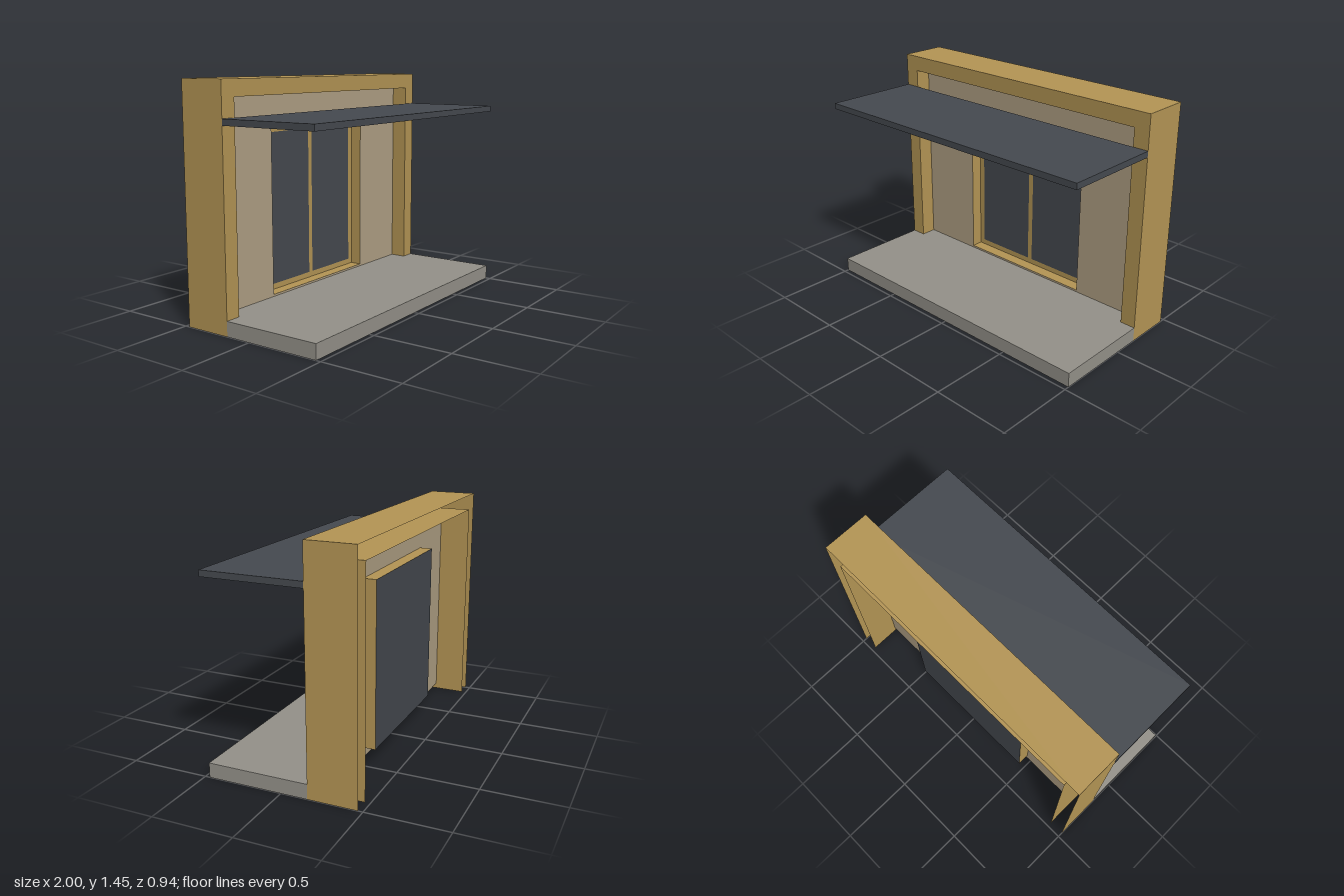
import * as THREE from 'three';

const mat = (name, color, side = THREE.DoubleSide) => {
  const m = new THREE.MeshStandardMaterial({ color, side });
  m.name = name;
  return m;
};

// Closed shape or hole outline from corner pairs
const outline = (Type, pts) => new Type(pts.map(([x, y]) => new THREE.Vector2(x, y)));
const rect = (x0, y0, x1, y1) => [[x0, y0], [x1, y0], [x1, y1], [x0, y1]];

// Flat sheet with optional rectangular holes
function sheet(pts, holes = []) {
  const s = outline(THREE.Shape, pts);
  holes.forEach(h => s.holes.push(outline(THREE.Path, h)));
  return new THREE.ShapeGeometry(s);
}

// Flat strip folded along an xy path, running from z0 to z1
function strip(path, z0, z1) {
  const pos = [];
  for (let i = 0; i + 1 < path.length; i++) {
    const [ax, ay] = path[i], [bx, by] = path[i + 1];
    pos.push(ax, ay, z0, bx, by, z0, bx, by, z1, ax, ay, z0, bx, by, z1, ax, ay, z1);
  }
  const g = new THREE.BufferGeometry();
  g.setAttribute('position', new THREE.Float32BufferAttribute(pos, 3));
  g.computeVertexNormals();
  return g;
}

export function createModel() {
  const model = new THREE.Group();
  model.name = 'porchFacade';
  const wood = mat('ochre wood', 0xb59655);
  const plaster = mat('beige plaster', 0xb1a185);
  const stone = mat('grey stone', 0x95928a);
  const dark = mat('charcoal', 0x464a50);

  const add = (parent, name, geo, material, x = 0, y = 0, z = 0) => {
    const m = new THREE.Mesh(geo, material);
    m.name = name;
    m.position.set(x, y, z);
    parent.add(m);
    return m;
  };
  const group = name => {
    const g = new THREE.Group();
    g.name = name;
    model.add(g);
    return g;
  };

  const H = 1.45, front = -0.165, back = -0.47, porch = 0.47, wallZ = -0.27;
  const step = 0.092;

  // Surround: hollow arch, open at the back and the feet
  const surround = group('surround');
  const outer = [[-1, 0], [-1, H], [1, H], [1, 0]];
  const inner = [[0.9, 0], [0.9, 1.35], [-0.9, 1.35], [-0.9, 0]];
  add(surround, 'surroundFront', sheet([...outer, ...inner]), wood, 0, 0, front);
  add(surround, 'surroundOuterSides', strip(outer, back, front), wood);
  add(surround, 'surroundInnerSides', strip(inner, back, front), wood);

  // Wall sheet with the window opening
  const opening = rect(-0.473, 0.105, 0.473, 1.145);
  add(model, 'wall', sheet(rect(-0.9, 0.035, 0.9, 1.35), [opening]), plaster, 0, 0, wallZ);

  // Window: recessed box with a ring, a mullion and a dark back
  const win = group('window');
  const winZ = -0.35;
  add(win, 'windowReveal', strip([...opening, opening[0]], winZ, wallZ), wood);
  const panes = [rect(-0.435, 0.14, -0.017, 1.11), rect(0.017, 0.14, 0.435, 1.11)];
  add(win, 'windowFrame', sheet(opening, panes), wood, 0, 0, winZ + 0.003);
  add(win, 'windowGlass', sheet(opening), dark, 0, 0, winZ);

  // Step: top plate reaching back to the wall, with a skirt and no underside
  const floor = group('step');
  const top = sheet([[-1, -porch], [1, -porch], [1, -front], [0.9, -front],
    [0.9, -wallZ], [-0.9, -wallZ], [-0.9, -front], [-1, -front]]);
  add(floor, 'stepTop', top.rotateX(-Math.PI / 2), stone, 0, step, 0);
  add(floor, 'stepFront', sheet(rect(-1, 0, 1, step)), stone, 0, 0, porch);
  for (const s of [-1, 1]) {
    add(floor, s > 0 ? 'stepLeftSide' : 'stepRightSide',
      strip([[s, 0], [s, step]], front, porch), stone);
  }

  // Canopy slab
  add(model, 'canopy', new THREE.BoxGeometry(2, 0.038, porch - front), dark,
    0, 1.216, (porch + front) / 2);

  return model;
}
